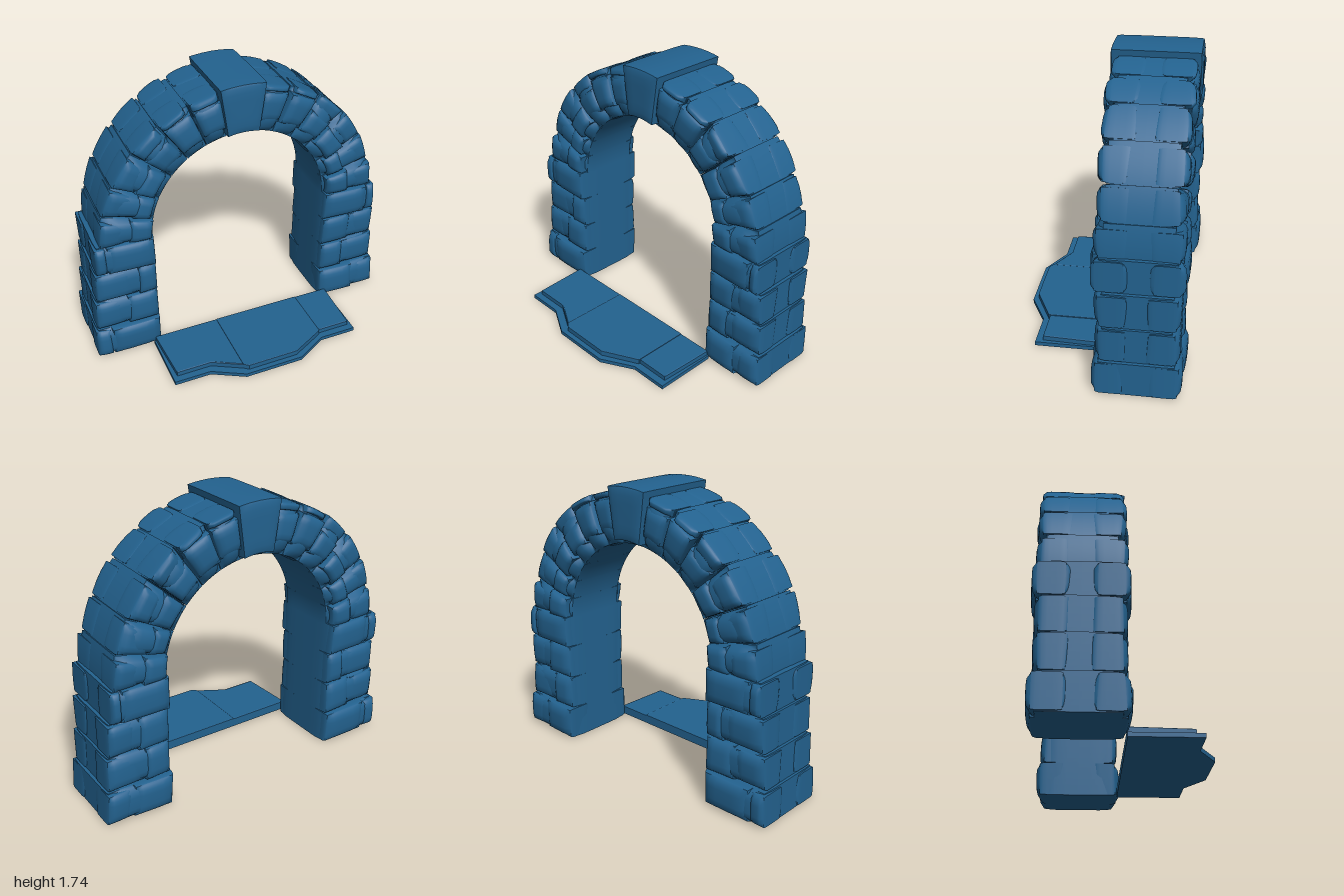
import * as THREE from 'three';

const stone = new THREE.MeshStandardMaterial({ color: 0x23628f });
stone.name = 'blueStone';

const ARCH_Y = 0.83, MID_Z = -0.25;

// Small seeded jitter in -1..1
let seed = 7;
const jitter = () => {
  seed = (seed * 16807) % 2147483647;
  return (seed / 2147483647) * 2 - 1;
};

// Straight-sided outline from four corners: bottom left, bottom right, top right, top left
const quad = (a, b, c, d) => (u, v) => [0, 1].map(i =>
  (a[i] * (1 - u) + b[i] * u) * (1 - v) + (d[i] * (1 - u) + c[i] * u) * v);

// Wedge of the ring; angles in degrees clockwise from the crown
const wedge = (t0, t1, r0, r1) => (u, v) => {
  const t = THREE.MathUtils.degToRad(t0 + (t1 - t0) * u), r = r0 + (r1 - r0) * v;
  return [Math.sin(t) * r, ARCH_Y + Math.cos(t) * r];
};

// Pillowed stone: a box bent to an outline, with swollen ends and softened edges
function block(name, outline, zc, half, { drop = 0.025, shrink = 0.08, tiltU = 0, tiltV = 0, power = 6 } = {}) {
  const geo = new THREE.BoxGeometry(2, 2, 2, 8, 8, 8);
  const p = geo.attributes.position;
  const ease = s => Math.sin(s * Math.PI / 2);
  for (let i = 0; i < p.count; i++) {
    const a = ease(p.getX(i)), b = ease(p.getY(i)), w = ease(p.getZ(i));
    const k = 1 - shrink * Math.abs(w) ** 8;
    const [x, y] = outline(0.5 + a * k / 2, 0.5 + b * k / 2);
    const edge = Math.min(1, (Math.abs(a) ** power + Math.abs(b) ** power));
    p.setXYZ(i, x, y, zc + w * (half - drop * edge + tiltU * a + tiltV * b));
  }
  geo.computeVertexNormals();
  const mesh = new THREE.Mesh(geo, stone);
  mesh.name = name;
  return mesh;
}

// The same facing stone on the front and back of the wall
function facing(group, name, outline, front) {
  for (const side of [1, -1]) {
    group.add(block(name + (side > 0 ? 'Front' : 'Back'), outline,
      MID_Z + side * (front - 0.1), 0.1,
      { drop: 0.026, shrink: 0.06, tiltU: jitter() * 0.007, tiltV: jitter() * 0.006 }));
  }
}

// Four courses of a pillar: [bottom, top, outer x, joint x, half depth]
function pillar(name, side, courses) {
  const group = new THREE.Group();
  group.name = name;
  const rect = (xa, xb, y0, y1, lean = 0) => {
    const l = Math.min(xa * side, xb * side), r = Math.max(xa * side, xb * side);
    return quad([l, y0], [r, y0], [r + lean, y1], [l + lean, y1]);
  };
  courses.forEach(([y0, y1, outer, joint, half], i) => {
    group.add(block('courseCore' + i, rect(0.573, outer - 0.008, y0, y1), MID_Z, half - 0.015,
      { drop: 0.04, shrink: 0.05 }));
    const lean = jitter() * 0.008;
    facing(group, 'innerFacing' + i, rect(0.578, joint - 0.002, y0 + 0.003, y1 - 0.003, lean), half);
    facing(group, 'outerFacing' + i, rect(joint + 0.002, outer, y0 + 0.006, y1 - 0.01, lean), half - 0.012);
  });
  return group;
}

// Six wedge stones on each side of the keystone
function archHalf(name, side) {
  const group = new THREE.Group();
  group.name = name;
  const joints = [8.5, 21.5, 35, 49, 64, 77, 90.5];
  const splits = [0.83, 0.84, 0.79, 0.76, 0.72, 0.745];
  const inner = [0.65, 0.65, 0.645, 0.63, 0.61, 0.59];
  const ring = (a, b, r0, r1) => side > 0 ? wedge(a, b, r0, r1) : wedge(-b, -a, r0, r1);
  for (let i = 0; i < 6; i++) {
    const a = joints[i], b = joints[i + 1], outer = 0.875 + i * 0.007;
    const half = 0.252 + (i % 2) * 0.008;
    group.add(block('wedgeCore' + i, ring(a, b, 0.572, outer), MID_Z, 0.245,
      { drop: 0.055, shrink: 0.03, power: 4 }));
    const split = splits[i] + jitter() * 0.012;
    facing(group, 'innerFacing' + i, ring(a + 0.4, b - 0.4, inner[i], split - 0.002), half);
    facing(group, 'outerFacing' + i, ring(a + 1 + (i % 2), b - 0.5, split + 0.002, outer + 0.004), half - 0.015);
  }
  return group;
}

// Flat plate lying on the ground, from x,z points
function plate(name, points, y, height, bevel) {
  const shape = new THREE.Shape(points.map(([x, z]) => new THREE.Vector2(x, -z)));
  const geo = new THREE.ExtrudeGeometry(shape, {
    depth: height - bevel, bevelEnabled: bevel > 0, bevelThickness: bevel / 2,
    bevelSize: bevel, bevelOffset: -bevel, bevelSegments: 1,
  });
  geo.rotateX(-Math.PI / 2).translate(0, y + bevel / 2, 0);
  const mesh = new THREE.Mesh(geo, stone);
  mesh.name = name;
  return mesh;
}

export function createModel() {
  const model = new THREE.Group();
  model.name = 'stoneArch';

  model.add(pillar('leftPillar', 1, [
    [0, 0.212, 0.995, 0.83, 0.268], [0.212, 0.425, 0.975, 0.74, 0.25],
    [0.425, 0.638, 0.96, 0.78, 0.252], [0.638, 0.842, 0.94, 0.88, 0.268],
  ]));
  model.add(pillar('rightPillar', -1, [
    [0, 0.212, 0.998, 0.90, 0.268], [0.212, 0.425, 0.982, 0.78, 0.25],
    [0.425, 0.638, 0.965, 0.70, 0.252], [0.638, 0.842, 0.95, 0.88, 0.268],
  ]));

  model.add(archHalf('leftArch', 1), archHalf('rightArch', -1));

  // Keystone, with a slightly domed top and a hollowed underside
  const body = quad([-0.1, 1.425], [0.1, 1.425], [0.145, 1.732], [-0.145, 1.732]);
  const keystone = (u, v) => {
    const [x, y] = body(u, v);
    return [x, y + 0.012 * (1 - (2 * u - 1) ** 2)];
  };
  model.add(block('keystone', keystone, MID_Z, 0.267, { drop: 0.012, shrink: 0.02, power: 8 }));
  model.add(block('keystoneCore', wedge(-9, 9, 0.572, 0.85), MID_Z, 0.235, { drop: 0.05, shrink: 0.02 }));

  // Doorstep: thin base with an inset slab of three flags on top
  const step = new THREE.Group();
  step.name = 'doorstep';
  step.add(plate('stepBase', [[-0.635, 0], [-0.635, 0.405], [-0.4, 0.405], [-0.2, 0.515],
    [0.18, 0.515], [0.38, 0.405], [0.62, 0.405], [0.62, 0]], 0, 0.025, 0));
  step.add(plate('rightFlag', [[-0.625, 0], [-0.605, 0.36], [-0.38, 0.36], [-0.2, 0.46], [-0.2, 0]], 0.02, 0.038, 0.006));
  step.add(plate('middleFlag', [[-0.2, 0], [-0.2, 0.46], [-0.17, 0.483], [0.16, 0.483], [0.38, 0.37], [0.38, 0]], 0.02, 0.04, 0.004));
  step.add(plate('leftFlag', [[0.38, 0], [0.38, 0.36], [0.595, 0.36], [0.61, 0]], 0.02, 0.037, 0.006));
  model.add(step);

  return model;
}
